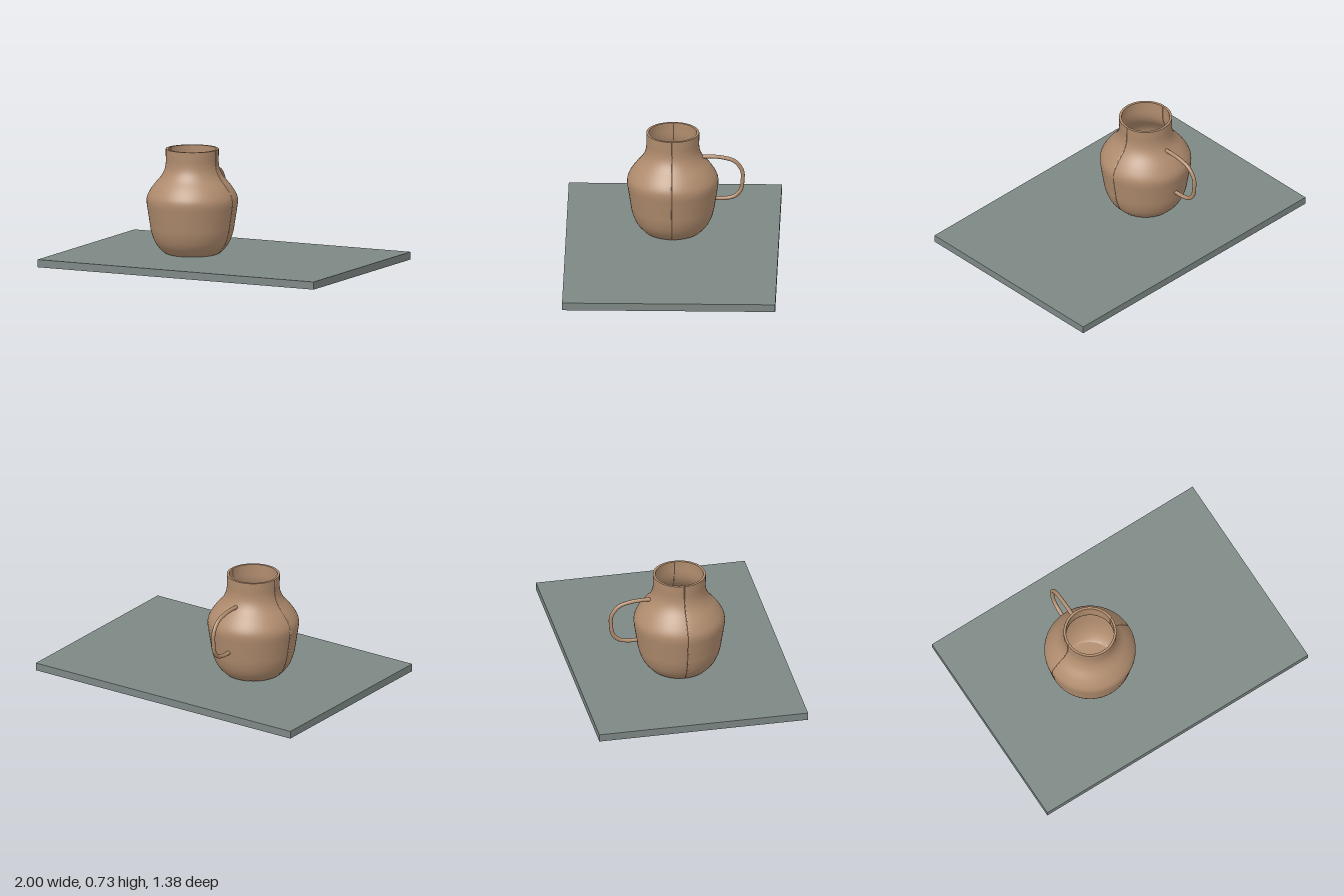
import * as THREE from 'three';
import { toCreasedNormals } from 'three/addons/utils/BufferGeometryUtils.js';

const POT_X = -0.23;
const BASE_Y = 0.05;
const WALL = 0.016;

// Closed pot profile: underside, outer wall, rim, inner wall, inner floor
function potProfile() {
  const v = (x, y) => new THREE.Vector2(x, y);
  const outer = new THREE.SplineCurve([
    v(0.165, BASE_Y), v(0.192, 0.065), v(0.237, 0.12), v(0.264, 0.19), v(0.277, 0.265),
    v(0.287, 0.33), v(0.295, 0.395), v(0.285, 0.44), v(0.25, 0.495), v(0.204, 0.55),
    v(0.18, 0.595), v(0.171, 0.64), v(0.171, 0.69), v(0.171, 0.733),
  ]).getPoints(52);
  const inner = outer.map(p => v(p.x - WALL, Math.max(p.y, BASE_Y + WALL))).reverse();
  return {
    points: [v(0, BASE_Y), ...outer, ...inner, v(0, BASE_Y + WALL)],
    outerEnd: outer.length,
  };
}

// Lathe with a narrow mould seam pressed in along both sides
function potGeometry() {
  const { points, outerEnd } = potProfile();
  const geo = new THREE.LatheGeometry(points, 96);
  const pos = geo.attributes.position;
  for (let i = 0; i < pos.count; i++) {
    const j = i % points.length;
    const segment = Math.floor(i / points.length);
    const a = (segment / 96) * Math.PI * 2 - Math.PI / 2;
    // Crowd the columns towards the seams at +x and -x
    const warped = a - 0.475 * Math.sin(2 * a);
    const fromSeam = Math.sin(warped);
    const groove = 0.006 * Math.exp(-((fromSeam / 0.012) ** 2));
    let r = points[j].x;
    if (r > 0.1) r += j <= outerEnd ? -groove : groove * 0.6;
    pos.setXYZ(i, r * Math.cos(warped), points[j].y, -r * Math.sin(warped));
  }
  return toCreasedNormals(geo, 0.75);
}

export function createModel() {
  const group = new THREE.Group();
  const clay = new THREE.MeshStandardMaterial({ name: 'clay', color: 0xb08c6e });
  const slate = new THREE.MeshStandardMaterial({ name: 'slate', color: 0x7d8885 });

  const add = (name, geometry, material, x, y, z) => {
    const mesh = new THREE.Mesh(geometry, material);
    mesh.name = name;
    mesh.position.set(x, y, z);
    group.add(mesh);
  };

  // Flat slab under the pot
  add('slab', new THREE.BoxGeometry(2, BASE_Y, 1.375), slate, 0, BASE_Y / 2, 0);

  // Hollow pot with an open neck
  add('pot', potGeometry(), clay, POT_X, 0, 0);

  // Thin looped handle at the back, its ends buried in the wall
  const path = new THREE.CatmullRomCurve3([
    [0.565, -0.192], [0.566, -0.24], [0.56, -0.32], [0.534, -0.4], [0.47, -0.447],
    [0.4, -0.45], [0.335, -0.438], [0.293, -0.4], [0.277, -0.345], [0.275, -0.268],
  ].map(([y, z]) => new THREE.Vector3(0, y, z)));
  add('handle', new THREE.TubeGeometry(path, 64, 0.0128, 14), clay, POT_X, 0, 0);

  return group;
}
